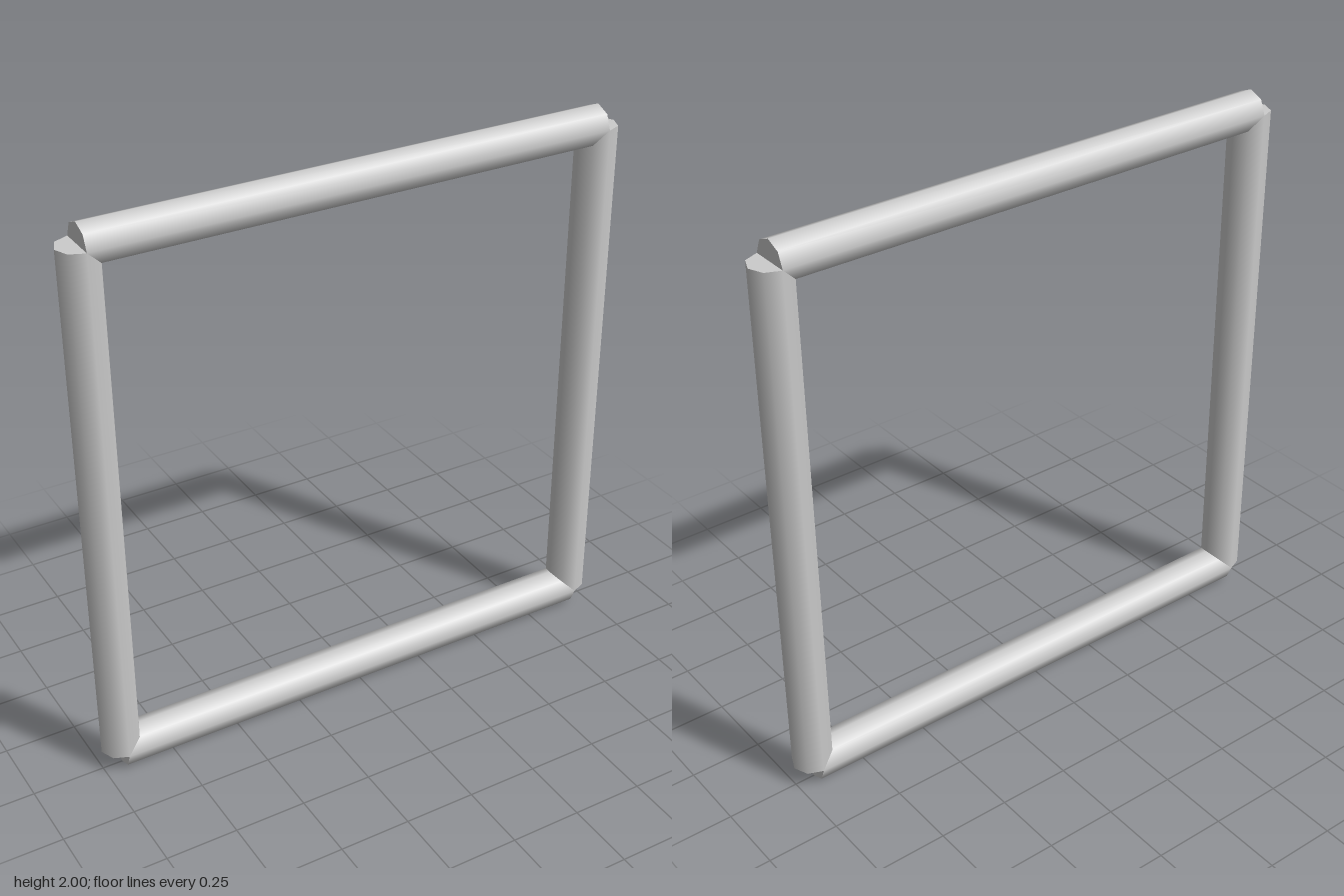
import * as THREE from 'three';

// Square frame made of four capped eight-sided rods with smooth sides
export function createModel() {
  const group = new THREE.Group();
  const material = new THREE.MeshStandardMaterial({ color: 0xcccccc });
  const radius = 0.071;
  const offset = 1 - radius; // distance from the frame centre to each rod axis
  const rod = new THREE.CylinderGeometry(radius, radius, 2 * offset, 8);

  function addRod(name, x, y, turn) {
    const mesh = new THREE.Mesh(rod, material);
    mesh.name = name;
    mesh.position.set(x, y, 0);
    mesh.rotation.z = turn;
    group.add(mesh);
  }

  // Upright rods
  addRod('leftRod', offset, 1, 0);
  addRod('rightRod', -offset, 1, 0);

  // Level rods, meeting the uprights axis to axis
  addRod('topRod', 0, 1 + offset, Math.PI / 2);
  addRod('bottomRod', 0, 1 - offset, Math.PI / 2);

  return group;
}
